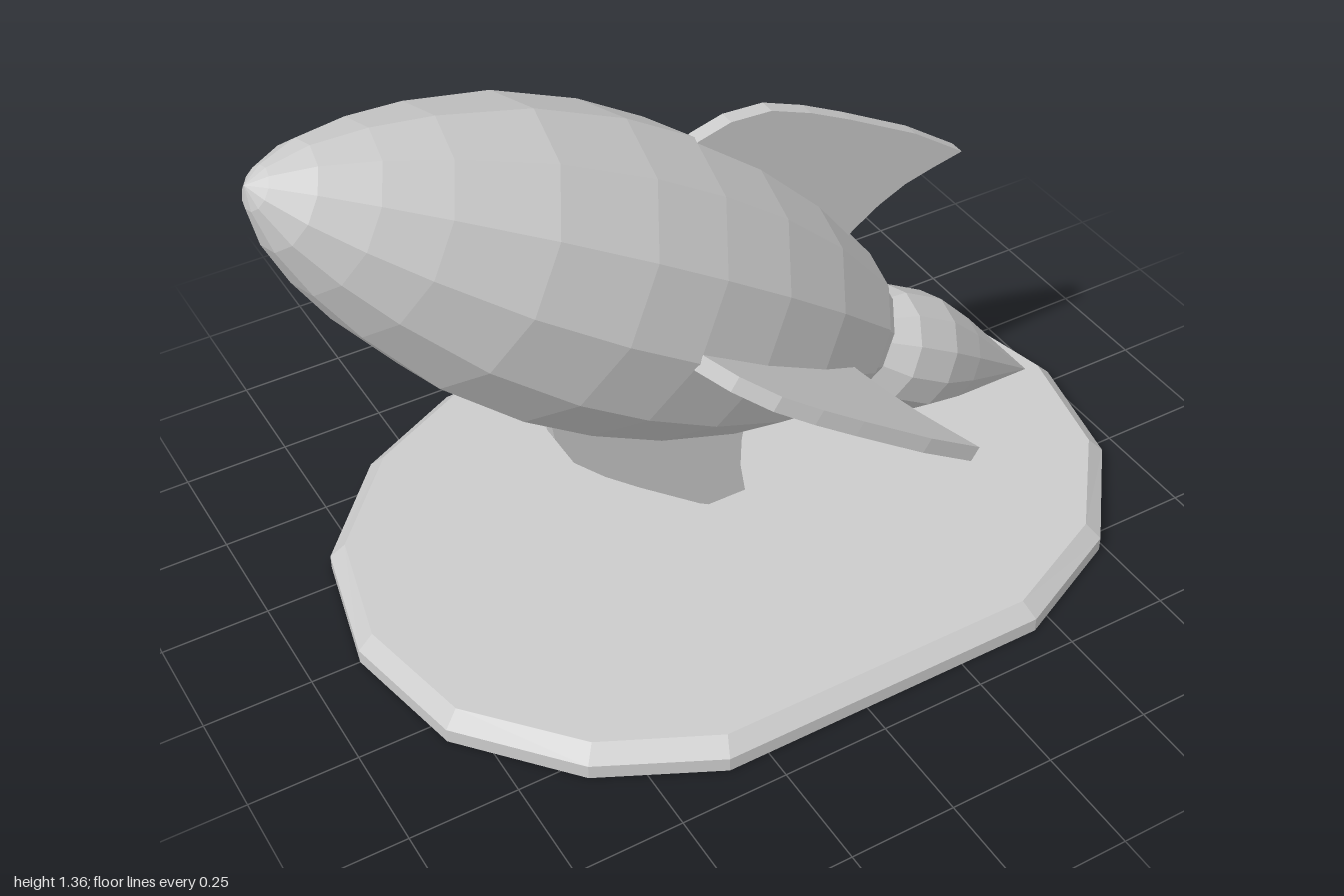
import * as THREE from 'three';

const mat = new THREE.MeshStandardMaterial({ color: 0xcccccc, flatShading: true });
const SIDES = 12;

function addMesh(parent, geometry, name) {
  const mesh = new THREE.Mesh(geometry, mat);
  mesh.name = name;
  parent.add(mesh);
  return mesh;
}

// Faceted solid of revolution; the profile is [distance from the front end, radius]
function turned(profile) {
  const pts = profile.map(([s, r]) => new THREE.Vector2(r, -s)).reverse();
  return new THREE.LatheGeometry(pts, SIDES);
}

// Group whose local -y axis points down the slope from (x, y)
function slopedGroup(name, x, y, degreesBelowHorizon) {
  const g = new THREE.Group();
  g.name = name;
  g.position.set(x, y, 0);
  g.rotation.z = THREE.MathUtils.degToRad(90 - degreesBelowHorizon);
  return g;
}

// Stretched polygonal plinth with a chamfered top edge
function baseGeometry() {
  const half = [
    [0.997, 0], [0.93, 0.305], [0.735, 0.547], [0.45, 0.68],
    [-0.345, 0.68], [-0.61, 0.547], [-0.82, 0.305], [-0.885, 0],
  ];
  const mirrored = half.slice(1, -1).reverse().map(([x, z]) => [x, -z]);
  const outline = [...half, ...mirrored].map(([x, z]) => new THREE.Vector2(x, z));
  const geo = new THREE.ExtrudeGeometry(new THREE.Shape(outline), {
    depth: 0.07, steps: 2, bevelEnabled: false,
  });
  geo.rotateX(-Math.PI / 2);
  const p = geo.attributes.position;
  for (let i = 0; i < p.count; i++) {
    if (p.getY(i) > 0.06) {
      p.setX(i, 0.055 + (p.getX(i) - 0.055) * 0.963);
      p.setZ(i, p.getZ(i) * 0.949);
    }
  }
  geo.computeVertexNormals();
  return geo;
}

// Swept-back fin in the radial plane, root buried in the hull
function finGeometry() {
  const outline = [
    [0.91, 0.25], [0.925, 0.34], [0.98, 0.402], [1.065, 0.452], [1.17, 0.474],
    [1.282, 0.487], [1.48, 0.503], [1.642, 0.498],
    [1.585, 0.44], [1.535, 0.385], [1.495, 0.32], [1.463, 0.246], [1.44, 0.15],
  ].map(([s, r]) => new THREE.Vector2(r, -s));
  const thickness = 0.037;
  const geo = new THREE.ExtrudeGeometry(new THREE.Shape(outline), {
    depth: thickness, bevelEnabled: false,
  });
  return geo.translate(0, 0, -thickness / 2);
}

export function createModel() {
  const model = new THREE.Group();
  model.name = 'rocketOnStand';

  addMesh(model, baseGeometry(), 'base');

  // Hull, nozzle and fins share the tilted rocket axis
  const rocket = slopedGroup('rocket', -0.99, 1.318, 33.3);
  model.add(rocket);

  addMesh(rocket, turned([
    [0, 0], [0.025, 0.045], [0.09, 0.11], [0.19, 0.174], [0.314, 0.233],
    [0.517, 0.303], [0.74, 0.338], [0.925, 0.342], [1.122, 0.326],
    [1.333, 0.282], [1.57, 0.198], [1.57, 0],
  ]), 'hull');

  addMesh(rocket, turned([
    [1.55, 0.18], [1.575, 0.18], [1.63, 0.155], [1.63, 0.125], [1.585, 0.11], [1.585, 0],
  ]), 'nozzle');

  const finNames = ['topFin', 'rightFin', 'supportFin', 'leftFin'];
  const fin = finGeometry();
  finNames.forEach((name, i) => {
    addMesh(rocket, fin, name).rotation.y = i * Math.PI / 2;
  });

  // Flame dips a little less than the rocket and touches the base
  const flame = slopedGroup('flame', 0.347, 0.413, 30.4);
  model.add(flame);
  addMesh(flame, turned([
    [0, 0], [0, 0.06], [0.05, 0.1], [0.14, 0.143], [0.26, 0.144],
    [0.38, 0.108], [0.669, 0],
  ]), 'exhaustFlame');

  return model;
}
